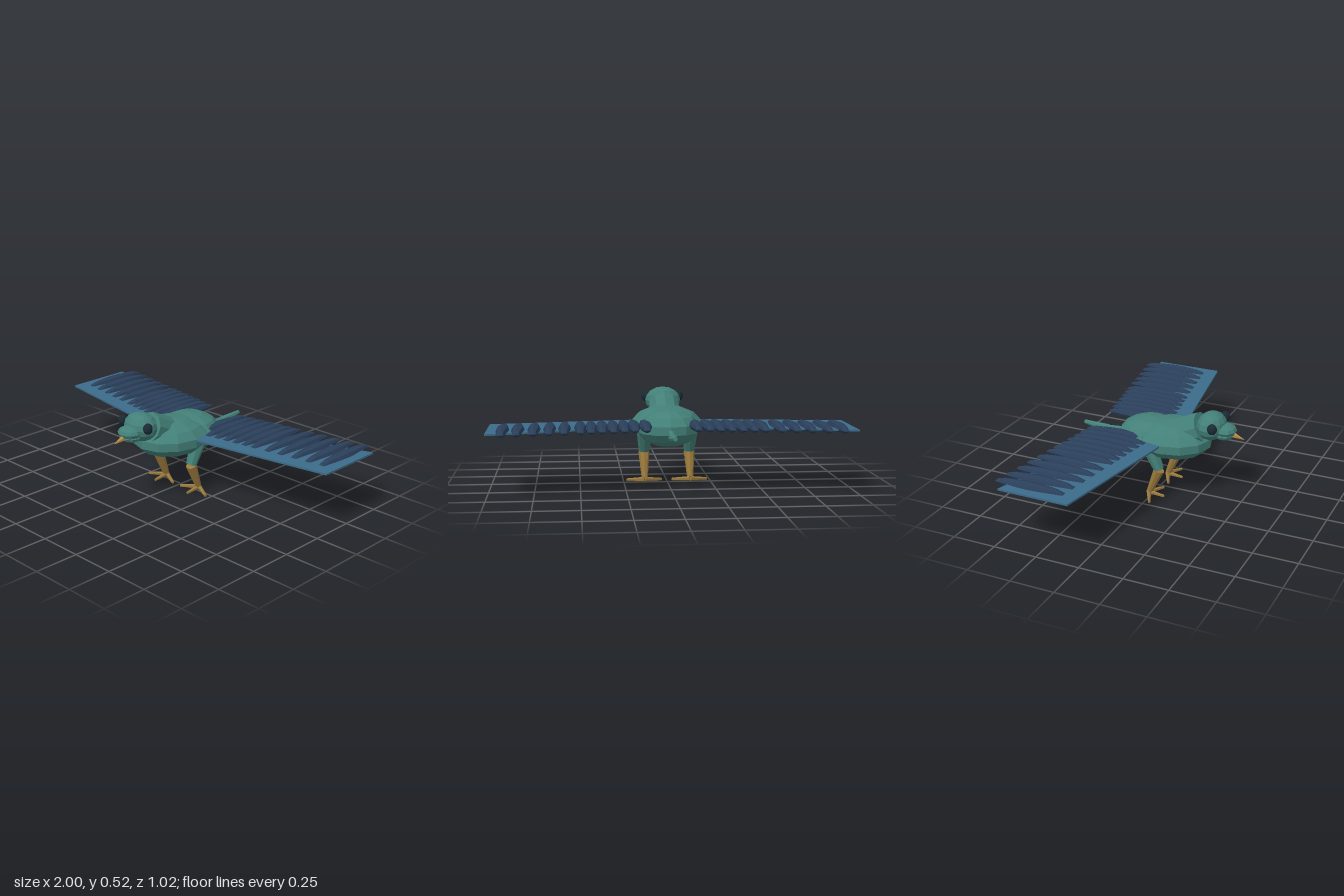
import * as THREE from 'three';

const mat = (name, color) => {
  const m = new THREE.MeshStandardMaterial({ color, flatShading: true });
  m.name = name;
  return m;
};

export function createModel() {
  const bird = new THREE.Group();
  bird.name = 'bird';
  const teal = mat('teal plumage', 0x438078);
  const blue = mat('wing blue', 0x3b6b89);
  const navy = mat('feather navy', 0x2a3f5a);
  const ochre = mat('leg ochre', 0x98783c);
  const gold = mat('beak gold', 0xb08a45);
  const dark = mat('eye dark', 0x1a2a35);

  const add = (name, geometry, material, parent = bird) => {
    const mesh = new THREE.Mesh(geometry, material);
    mesh.name = name;
    parent.add(mesh);
    return mesh;
  };

  // Faceted ellipsoid with its poles along y
  const blob = (name, center, radii, material, w = 12, h = 7, parent = bird) => {
    const mesh = add(name, new THREE.SphereGeometry(1, w, h), material, parent);
    mesh.position.set(...center);
    mesh.scale.set(...radii);
    return mesh;
  };

  // Tapered cylinder between two points
  const limb = (name, from, to, r0, r1, material, parent = bird, sides = 8) => {
    const a = new THREE.Vector3(...from), b = new THREE.Vector3(...to);
    const dir = b.clone().sub(a);
    const mesh = add(name, new THREE.CylinderGeometry(r1, r0, dir.length(), sides), material, parent);
    mesh.position.copy(a).add(b).multiplyScalar(0.5);
    mesh.quaternion.setFromUnitVectors(new THREE.Vector3(0, 1, 0), dir.normalize());
    return mesh;
  };

  // Body, neck and head
  blob('chest', [0, 0.33, 0.08], [0.205, 0.107, 0.232], teal);
  blob('rump', [0, 0.325, -0.06], [0.178, 0.108, 0.187], teal);
  limb('neck', [0, 0.33, 0.06], [0, 0.42, 0.255], 0.09, 0.09, teal, bird, 10);
  blob('head', [0, 0.443, 0.313], [0.105, 0.08, 0.083], teal, 12, 8);
  blob('upperFace', [0, 0.43, 0.395], [0.07, 0.036, 0.063], teal, 10, 6);
  blob('lowerFace', [0, 0.404, 0.385], [0.062, 0.03, 0.06], teal, 10, 6);
  limb('beak', [0, 0.41, 0.435], [0, 0.39, 0.51], 0.019, 0, gold, bird, 6);

  // Tail
  limb('tailBase', [0, 0.317, -0.2], [0, 0.31, -0.335], 0.02, 0.016, teal);
  limb('tailTip', [0, 0.304, -0.335], [0, 0.32, -0.488], 0.025, 0.012, teal);

  // Feather: flattened spindle with blunt, thin ends, lying along z
  const sections = [[0, 0.017, 0.003], [0.12, 0.022, 0.02], [0.35, 0.032, 0.026],
    [0.5, 0.035, 0.028], [0.65, 0.032, 0.026], [0.88, 0.022, 0.02], [1, 0.017, 0.003]];
  const featherGeometry = new THREE.CylinderGeometry(1, 1, 1, 8, sections.length - 1);
  featherGeometry.rotateX(Math.PI / 2);
  const p = featherGeometry.attributes.position;
  for (let i = 0; i < p.count; i++) {
    const k = Math.round((p.getZ(i) + 0.5) * (sections.length - 1));
    const [t, w, h] = sections[k];
    p.setXYZ(i, p.getX(i) * w, p.getY(i) * h, t - 0.5);
  }
  featherGeometry.computeVertexNormals();

  // Flat wing panel outline, drawn in x and -z, laid flat
  const wingGeometry = (s) => {
    const outline = [[0.1, 0.09], [0.22, 0.08], [1, -0.05], [1, -0.455], [0.1, -0.195]];
    const shape = new THREE.Shape(outline.map(([x, z]) => new THREE.Vector2(s * x, -z)));
    return new THREE.ExtrudeGeometry(shape, { depth: 0.01, bevelEnabled: false })
      .rotateX(-Math.PI / 2).translate(0, 0.344, 0);
  };

  const featherX = [0.139, 0.203, 0.26, 0.32, 0.38, 0.439, 0.497, 0.583, 0.663, 0.746, 0.832, 0.914];

  for (const [side, s] of [['left', 1], ['right', -1]]) {
    blob(side + 'Eye', [s * 0.1, 0.464, 0.352], [0.026, 0.031, 0.028], dark, 10, 7);

    const wing = new THREE.Group();
    wing.name = side + 'Wing';
    bird.add(wing);
    add('wingPanel', wingGeometry(s), blue, wing);
    featherX.forEach((x) => {
      const feather = add('feather', featherGeometry, navy, wing);
      feather.position.set(s * x, 0.354, -0.172 - 0.157 * x);
      feather.scale.z = 0.395;
    });

    // Leg with three spread toes
    const leg = new THREE.Group();
    leg.name = side + 'Leg';
    leg.position.x = s * 0.131;
    bird.add(leg);
    limb('thigh', [0, 0.31, -0.01], [0, 0.175, 0.05], 0.046, 0.03, teal, leg);
    limb('shin', [0, 0.172, 0.05], [0, 0.03, -0.008], 0.032, 0.018, ochre, leg);
    for (const [x, z] of [[-0.1, 0.035], [0, 0.082], [0.1, 0.035]]) {
      limb('toe', [0, 0.022, -0.015], [x, 0.011, z], 0.014, 0.008, ochre, leg, 6);
    }
  }
  return bird;
}
